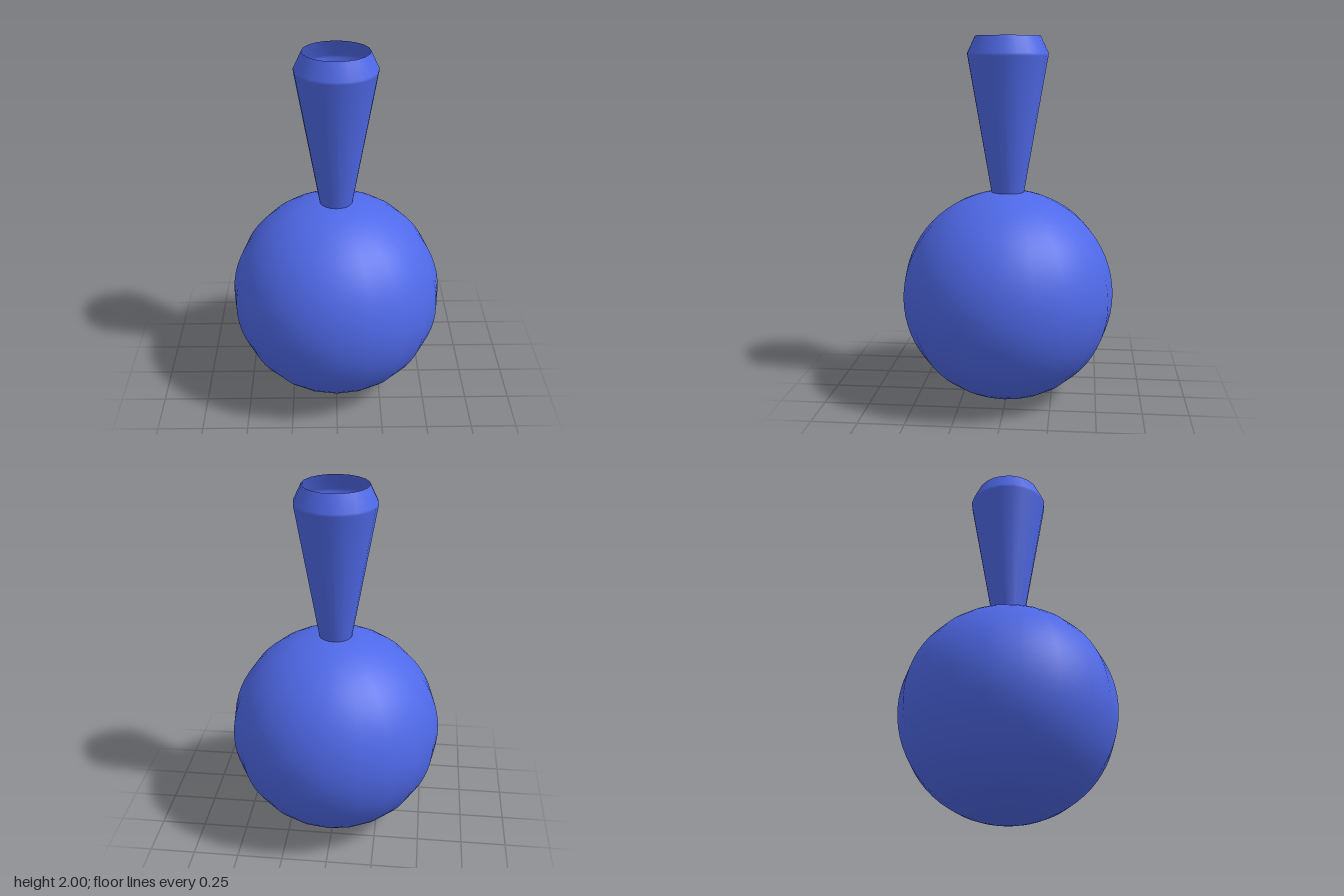
import * as THREE from 'three';

const SIDES = 20;
const R = 0.585; // bulb radius, also the height of its centre
const NECK_R = 0.09; // radius of the opening between bulb and neck

export function createModel() {
  const group = new THREE.Group();
  const glass = new THREE.MeshStandardMaterial({ color: 0x4f69e8, side: THREE.DoubleSide });
  const green = new THREE.MeshStandardMaterial({ color: 0x10e060 });
  const grey = new THREE.MeshStandardMaterial({ color: 0xcccccc });

  const add = (name, geometry, material, y = 0) => {
    const mesh = new THREE.Mesh(geometry, material);
    mesh.name = name;
    mesh.position.y = y;
    group.add(mesh);
  };

  // Round bulb, open at the top where the neck joins
  const open = Math.asin(NECK_R / R);
  add('bulb', new THREE.SphereGeometry(R, SIDES, 32, 0, Math.PI * 2, open, Math.PI - open), glass, R);

  // Flared neck with an inward-sloping lip, hollow and thin-walled
  const neckBase = R + R * Math.cos(open);
  const profile = [[NECK_R, neckBase], [0.217, 1.895], [0.218, 1.91], [0.175, 2]]
    .map(([r, y]) => new THREE.Vector2(r, y));
  add('neck', new THREE.LatheGeometry(profile, SIDES), glass);

  // Liquid filling the lower half of the bulb
  const inner = R * 0.96;
  add('liquid', new THREE.SphereGeometry(inner, SIDES, 12, 0, Math.PI * 2, Math.PI / 2, Math.PI / 2), green, R);
  add('liquidSurface', new THREE.CircleGeometry(inner, SIDES).rotateX(-Math.PI / 2), green, R);

  // Small bead floating in the liquid
  add('bead', new THREE.SphereGeometry(0.038, 16, 12), grey, R);

  return group;
}
